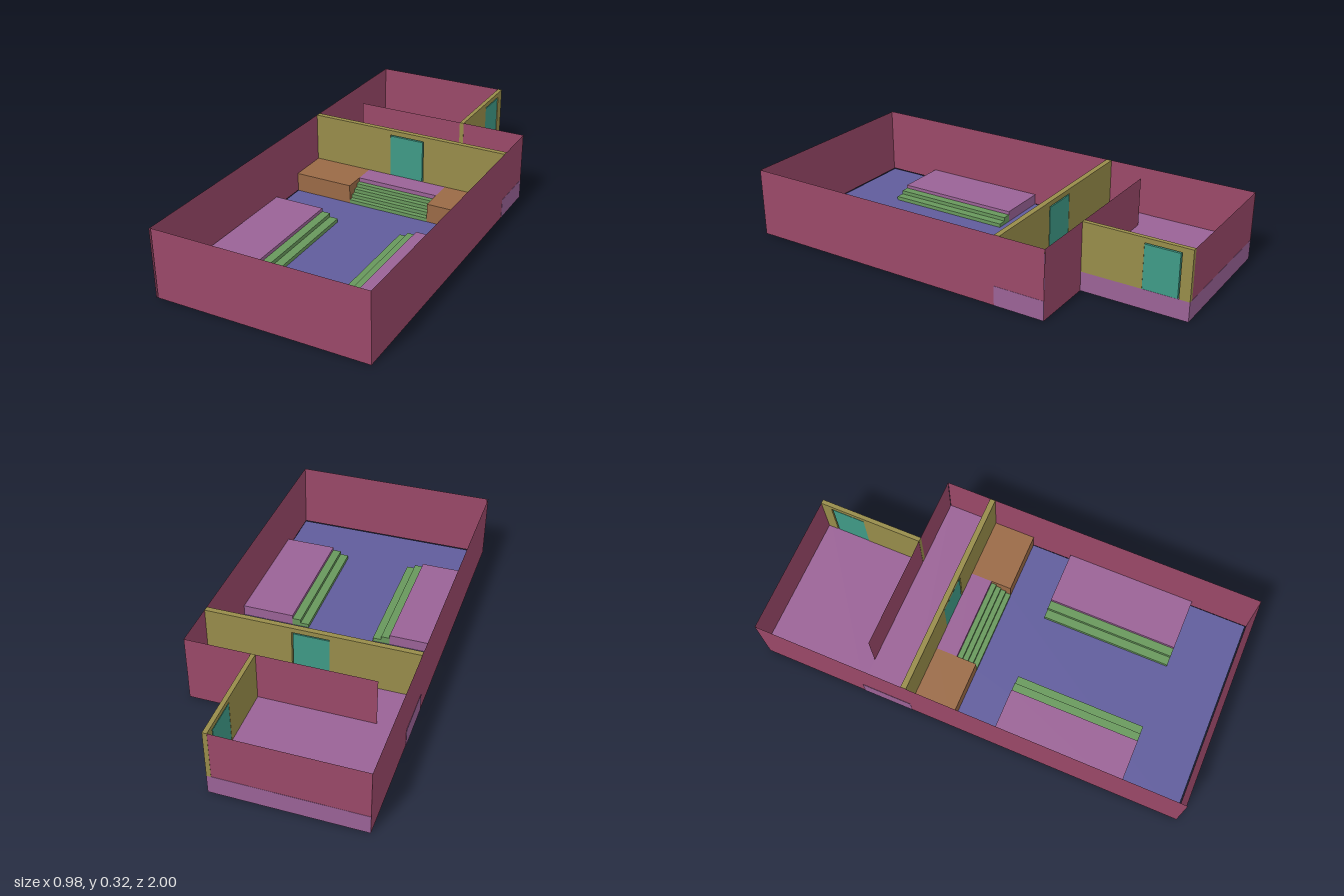
import * as THREE from 'three';

const H = 0.32;      // wall height
const DECK = 0.09;   // raised floor height
const RISE = 0.0175; // stair riser

const mat = (color, side = THREE.FrontSide) => new THREE.MeshStandardMaterial({ color, side });
const M = {
  wall: mat(0x9a4868, THREE.DoubleSide),
  floor: mat(0x605c9c, THREE.DoubleSide),
  deck: mat(0x9a6296),
  partition: mat(0x978c4a),
  door: mat(0x3f9a86),
  step: mat(0x68985c),
  block: mat(0x9a6a46),
};

function add(parent, name, geometry, material) {
  const mesh = new THREE.Mesh(geometry, material);
  mesh.name = name;
  parent.add(mesh);
  return mesh;
}

// Box given by its limits on each axis
function box(parent, name, material, [x0, x1], [y0, y1], [z0, z1]) {
  add(parent, name, new THREE.BoxGeometry(x1 - x0, y1 - y0, z1 - z0), material)
    .position.set((x0 + x1) / 2, (y0 + y1) / 2, (z0 + z1) / 2);
}

// Thin upright wall between two plan points
function thinWall(parent, name, [xa, za], [xb, zb]) {
  const dx = xb - xa, dz = zb - za;
  const mesh = add(parent, name, new THREE.PlaneGeometry(Math.hypot(dx, dz), H), M.wall);
  mesh.position.set((xa + xb) / 2, H / 2, (za + zb) / 2);
  mesh.rotation.y = Math.atan2(-dz, dx);
}

// Partition standing on the deck, with a doorway and a slightly smaller door leaf
function doorWall(name, length, depth, d0, d1) {
  const group = new THREE.Group();
  group.name = name;
  const h = H - DECK, doorH = 0.207, gap = 0.006;
  const outline = [[0, 0], [d0, 0], [d0, doorH], [d1, doorH], [d1, 0], [length, 0], [length, h], [0, h]];
  const shape = new THREE.Shape(outline.map(([x, y]) => new THREE.Vector2(x, y)));
  add(group, name + 'Panel', new THREE.ExtrudeGeometry(shape, { depth, bevelEnabled: false }), M.partition);
  box(group, name + 'Door', M.door, [d0, d1 - gap], [0, doorH - gap], [0.001, depth - 0.001]);
  return group;
}

export function createModel() {
  const model = new THREE.Group();
  model.name = 'hall';

  // Main floor, with a tongue beneath the stage stairs
  const floorPlan = [[-0.484, -0.99], [0.485, -0.99], [0.485, 0.08], [0.2, 0.08],
    [0.2, 0.175], [-0.2, 0.175], [-0.2, 0.08], [-0.484, 0.08]];
  const floorShape = new THREE.Shape(floorPlan.map(([x, y]) => new THREE.Vector2(x, y)));
  add(model, 'mainFloor', new THREE.ShapeGeometry(floorShape), M.floor).rotation.x = -Math.PI / 2;

  // Outer walls and the inner cross wall
  thinWall(model, 'frontWall', [-0.484, 0.995], [0.486, 0.995]);
  thinWall(model, 'leftWall', [0.486, 0.995], [0.486, -0.51]);
  thinWall(model, 'crossWall', [0.486, -0.511], [-0.36, -0.511]);
  thinWall(model, 'rightWall', [-0.489, 1], [-0.484, -1]);
  thinWall(model, 'backWall', [0.185, -0.999], [-0.484, -0.999]);

  // Raised rear floor
  box(model, 'backDeck', M.deck, [-0.484, 0.185], [0, DECK], [-1, -0.51]);
  box(model, 'middleDeck', M.deck, [-0.487, 0.487], [0, DECK], [-0.51, -0.275]);
  box(model, 'landing', M.deck, [-0.2, 0.2], [0, DECK], [-0.275, -0.175]);

  // Partitions with doors
  const stagePartition = doorWall('stagePartition', 0.97, 0.025, 0.4, 0.571);
  stagePartition.position.set(-0.485, DECK, -0.3);
  const sidePartition = doorWall('sidePartition', 0.49, 0.02, 0.28, 0.442);
  sidePartition.position.set(0.165, DECK, -0.51);
  sidePartition.rotation.y = Math.PI / 2;
  model.add(stagePartition, sidePartition);

  // Stage stairs
  for (let i = 0; i < 4; i++) {
    const z = -0.175 + i * 0.024;
    box(model, 'stageStep', M.step, [-0.2, 0.2], [0, RISE * (4 - i)], [z, z + 0.024]);
  }

  // Stage blocks, side platforms and their steps, mirrored
  for (const s of [-1, 1]) {
    const span = (a, b) => (s < 0 ? [-b, -a] : [a, b]);
    box(model, 'stageBlock', M.block, span(0.2, 0.484), [0, DECK], [-0.275, -0.08]);
    box(model, 'sidePlatform', M.deck, span(0.238, 0.484), [0, 0.051], [0.11, 0.72]);
    for (let i = 0; i < 2; i++) {
      const x = 0.198 - i * 0.04;
      box(model, 'platformStep', M.step, span(x, x + 0.04), [0, RISE * (2 - i)], [0.11, 0.72]);
    }
  }
  return model;
}
